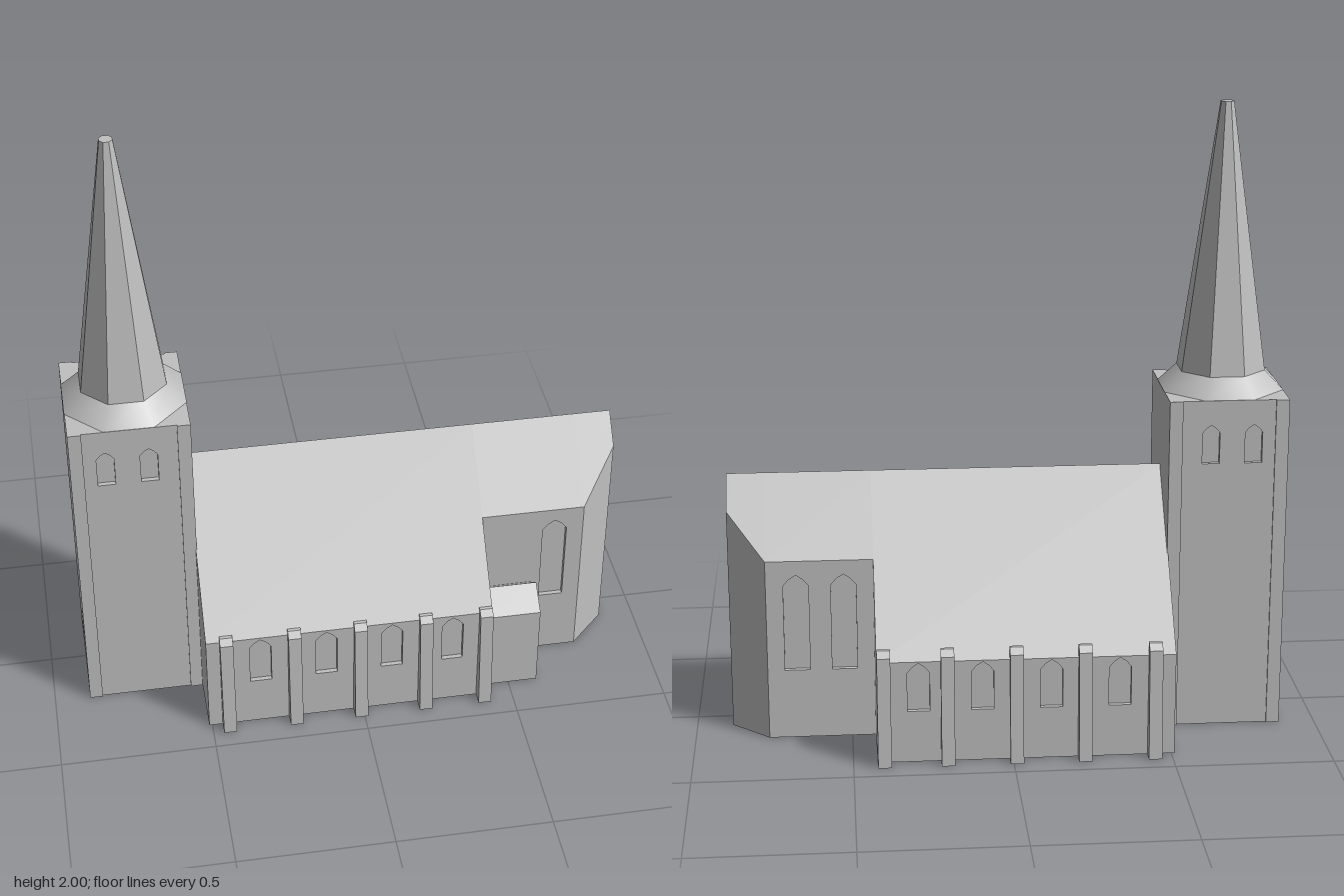
import * as THREE from 'three';

const D = 0.015;          // depth of window recesses
const RIDGE_Z = 0.01;     // ridge line of the roofs
const roofY = (z) => 0.83 - 1.21 * Math.abs(z - RIDGE_Z);

export function createModel() {
  const church = new THREE.Group();
  church.name = 'church';
  const stone = new THREE.MeshStandardMaterial({ color: 0xc0c0c0 });
  stone.name = 'pale grey stone';

  const add = (name, geometry) => {
    const mesh = new THREE.Mesh(geometry, stone);
    mesh.name = name;
    church.add(mesh);
    return mesh;
  };
  const box = (name, x0, x1, y0, y1, z0, z1) =>
    add(name, new THREE.BoxGeometry(x1 - x0, y1 - y0, z1 - z0)
      .translate((x0 + x1) / 2, (y0 + y1) / 2, (z0 + z1) / 2));
  const polygon = (points) => points.map(([x, y]) => new THREE.Vector2(x, y));

  // Solid with a (z, y) profile, running along x
  const alongX = (name, profile, x0, x1) => {
    const shape = new THREE.Shape(polygon(profile.map(([z, y]) => [-z, y])));
    const g = new THREE.ExtrudeGeometry(shape, { depth: x1 - x0, bevelEnabled: false });
    return add(name, g.rotateY(Math.PI / 2).translate(x0, 0, 0));
  };

  // Pointed opening: centre, width, sill, top
  const opening = ([c, w, y0, y1]) => {
    const h = w / 2, rise = w * 0.45;
    return new THREE.Path(polygon([
      [c - h, y0], [c + h, y0], [c + h, y1 - rise], [c + h * 0.55, y1 - rise * 0.4],
      [c, y1], [c - h * 0.55, y1 - rise * 0.4], [c - h, y1 - rise],
    ]));
  };
  // Wall slab with openings; turned about y, outer face at the given distance
  const wall = (name, outline, openings, turn, distance) => {
    const shape = new THREE.Shape(polygon(outline));
    shape.holes = openings.map(opening);
    const g = new THREE.ExtrudeGeometry(shape, { depth: D, bevelEnabled: false });
    return add(name, g.translate(0, 0, distance - D).rotateY(turn));
  };
  const rect = (x0, x1, h) => [[x0, 0], [x1, 0], [x1, h], [x0, h]];
  const flip = (list) => list.map(([c, ...rest]) => [-c, ...rest]);

  // Gabled core whose side walls are set back behind the wall slabs
  const gabled = (name, zFront, zBack, x0, x1) => alongX(name, [
    [zFront - D, 0], [zFront - D, roofY(zFront)], [zFront, roofY(zFront)], [RIDGE_Z, 0.83],
    [zBack, roofY(zBack)], [zBack + D, roofY(zBack)], [zBack + D, 0],
  ], x0, x1);

  // Nave
  const naveX = [-0.335, -0.12, 0.095, 0.295];
  gabled('naveCoreAndRoof', 0.4, -0.4, -0.51, 0.425);
  wall('naveFrontWall', rect(-0.51, 0.425, roofY(0.4)),
    naveX.map((x) => [x, 0.07, 0.175, 0.35]), 0, 0.4);
  wall('naveBackWall', rect(-0.425, 0.51, roofY(-0.4)),
    flip(naveX.map((x) => [x, 0.07, 0.17, 0.329])), Math.PI, 0.4);

  // Buttresses on both sides, leaning in with sloped caps
  for (const x of [-0.445, -0.225, -0.01, 0.205, 0.403]) {
    for (const s of [1, -1]) {
      alongX(s > 0 ? 'frontButtress' : 'backButtress', [
        [0.39 * s, 0], [0.443 * s, 0], [0.42 * s, 0.355], [0.402 * s, 0.375], [0.39 * s, 0.375],
      ], x - 0.021, x + 0.021);
    }
  }

  // Choir
  const zF = 0.205, zB = -0.183, bend = 0.765, end = 0.885;
  gabled('choirCoreAndRoof', zF, zB, 0.425, bend);
  wall('choirFrontWall', rect(0.425, bend, roofY(zF)), [[0.67, 0.08, 0.23, 0.55]], 0, zF);
  wall('choirBackWall', rect(-bend, -0.425, roofY(zB)),
    flip([[0.52, 0.08, 0.23, 0.55], [0.67, 0.08, 0.23, 0.55]]), Math.PI, -zB);

  // Apse: cross-sections joined from the choir to the narrow end
  const section = (z0, z1) => [[z0, 0], [z0, roofY(z0)], [RIDGE_Z, 0.83], [z1, roofY(z1)], [z1, 0]];
  const wide = section(zF, zB), narrow = section(0.085, -0.073);
  const pos = [];
  for (let i = 0; i < 5; i++) {
    const j = (i + 1) % 5;
    const a = [bend, wide[i][1], wide[i][0]], b = [end, narrow[i][1], narrow[i][0]];
    const c = [end, narrow[j][1], narrow[j][0]], d = [bend, wide[j][1], wide[j][0]];
    pos.push(...a, ...b, ...c, ...a, ...c, ...d);
  }
  const apse = new THREE.BufferGeometry();
  apse.setAttribute('position', new THREE.Float32BufferAttribute(pos, 3));
  apse.computeVertexNormals();
  add('apseWallsAndRoof', apse);
  const endOutline = narrow.map(([z, y]) => [-z, y]);
  wall('apseEndWall', endOutline, [[-0.02, 0.08, 0.2, 0.51]], Math.PI / 2, end);
  wall('apseWindowBack', endOutline, [], Math.PI / 2, end - D);

  // Small gabled annex beside the choir
  alongX('annex', [[0.19, 0], [0.36, 0], [0.36, 0.295], [0.283, 0.36], [0.205, 0.295], [0.19, 0.295]],
    0.42, 0.597);

  // Tower
  const tx0 = -0.885, tx1 = -0.507, tz0 = -0.181, tz1 = 0.202, th = 1.09;
  const belfry = [[-0.775, 0.055, 0.885, 1.01], [-0.64, 0.055, 0.885, 1.01]];
  box('towerCore', tx0 + D, tx1, 0, th, tz0 + D, tz1 - D);
  wall('towerFrontWall', rect(tx0, tx1, th), belfry, 0, tz1);
  wall('towerBackWall', rect(-tx1, -tx0, th), flip(belfry), Math.PI, -tz0);
  wall('towerDoorWall', rect(tz0 + D, tz1 - D, th), [[0.015, 0.08, 0.01, 0.22]], -Math.PI / 2, -tx0);
  for (const x of [tx0, tx1 - 0.042]) {
    box('towerFrontPilaster', x, x + 0.042, 0, th, tz1 - 0.002, tz1 + 0.005);
    box('towerBackPilaster', x, x + 0.042, 0, th, tz0 - 0.005, tz0 + 0.002);
  }

  // Eight-sided spire on a sloping skirt, flat sides towards the walls
  const k = Math.cos(Math.PI / 8);
  const octagon = (name, top, bottom, y0, y1, flat) => {
    let g = new THREE.CylinderGeometry(top / k, bottom / k, y1 - y0, 8).rotateY(Math.PI / 8);
    if (flat) { g = g.toNonIndexed(); g.computeVertexNormals(); }
    add(name, g.translate(-0.696, (y0 + y1) / 2, 0.011));
  };
  octagon('spireSkirt', 0.133, 0.19, th, 1.15, false);
  octagon('spire', 0.02, 0.133, 1.15, 2, true);

  return church;
}
